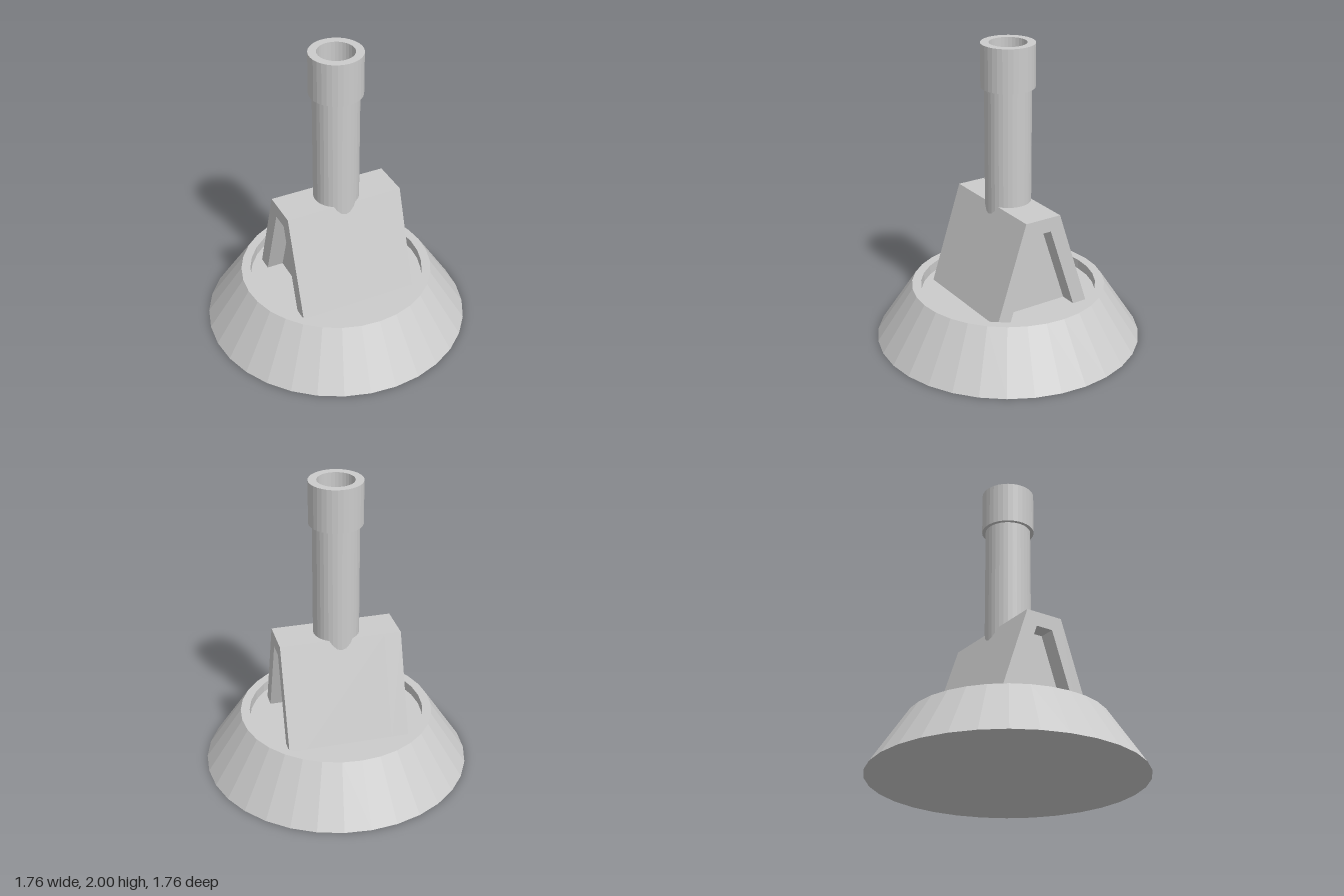
import * as THREE from 'three';

const material = new THREE.MeshStandardMaterial({ color: 0xcccccc, flatShading: true });

const FLOOR = 0.3;    // recessed floor of the base
const TOP = 0.955;    // top of the wedge block
const HALF = 0.4;     // half length of the block along x
const POCKET = 0.11;  // depth of the end pockets

const toPoints = (list) => list.map(([x, y]) => new THREE.Vector2(x, y));

function addMesh(group, name, geometry) {
  const mesh = new THREE.Mesh(geometry, material);
  mesh.name = name;
  group.add(mesh);
  return mesh;
}

const lathe = (profile) => new THREE.LatheGeometry(toPoints(profile), 32);

// Extrudes a z-y outline along x, starting at x0
function extrudeAlongX(outline, x0, length) {
  const geometry = new THREE.ExtrudeGeometry(new THREE.Shape(toPoints(outline)), {
    depth: length,
    bevelEnabled: false,
  });
  return geometry.rotateY(Math.PI / 2).translate(x0, 0, 0);
}

export function createModel() {
  const model = new THREE.Group();
  model.name = 'pedestal';

  // Conical base with a shallow recess in its top
  addMesh(model, 'base', lathe([
    [0, 0], [0.88, 0], [0.64, 0.365], [0.58, 0.365], [0.58, FLOOR], [0, FLOOR],
  ]));

  // Solid middle of the wedge block
  const block = new THREE.Group();
  block.name = 'wedgeBlock';
  model.add(block);
  addMesh(block, 'blockCore', extrudeAlongX(
    [[-0.345, FLOOR], [0.345, FLOOR], [0.128, TOP], [-0.128, TOP]],
    -HALF + POCKET, 2 * (HALF - POCKET),
  ));

  // Arched frames that form a tapered pocket at each end
  const frame = [
    [-0.345, FLOOR], [-0.245, FLOOR], [-0.058, 0.86], [0.058, 0.86],
    [0.245, FLOOR], [0.345, FLOOR], [0.128, TOP], [-0.128, TOP],
  ];
  addMesh(block, 'leftFrame', extrudeAlongX(frame, HALF - POCKET, POCKET));
  addMesh(block, 'rightFrame', extrudeAlongX(frame, -HALF, POCKET));

  // Upright hollow tube with a wider collar at the mouth
  addMesh(model, 'tube', lathe([
    [0.15, 0.86], [0.15, 1.717], [0.173, 1.717], [0.173, 2],
    [0.12, 2], [0.12, TOP], [0, TOP],
  ]));

  return model;
}
